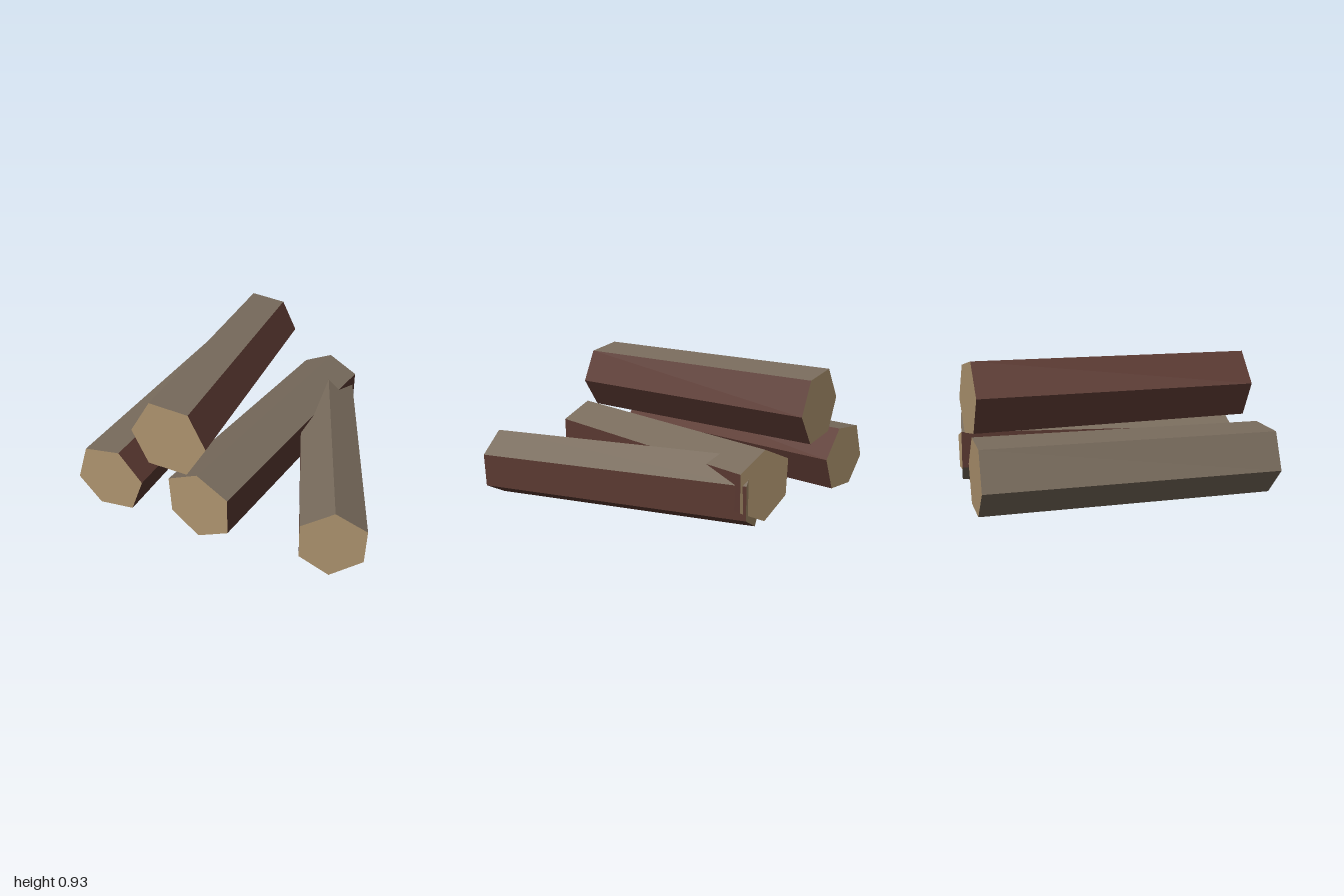
import * as THREE from 'three';

// Hexagonal prism: front outline (clockwise seen from the front) swept back to the far end.
// sides lists the material of each side face: 0 = grey bark, 1 = red bark.
function logGeometry({ outline, frontZ, shift, sides }) {
  const n = outline.length;
  const cx = outline.reduce((s, p) => s + p[0], 0) / n;
  const slope = shift[0] / -shift[2];
  // saw cuts stay square to the axis of the log
  const front = outline.map(([x, y]) => new THREE.Vector3(x, y, frontZ + slope * (x - cx)));
  const back = front.map((p) => p.clone().add(new THREE.Vector3(...shift)));

  const positions = [];
  const geometry = new THREE.BufferGeometry();
  const addFace = (material, corners) => {
    const start = positions.length / 3;
    for (let k = 1; k < corners.length - 1; k++) {
      for (const p of [corners[0], corners[k], corners[k + 1]]) positions.push(p.x, p.y, p.z);
    }
    geometry.addGroup(start, positions.length / 3 - start, material);
  };

  for (let i = 0; i < n; i++) {
    const j = (i + 1) % n;
    addFace(sides[i], [front[i], front[j], back[j], back[i]]);
  }
  addFace(2, [...front].reverse());
  addFace(2, back);

  geometry.setAttribute('position', new THREE.Float32BufferAttribute(positions, 3));
  geometry.computeVertexNormals();
  return geometry;
}

export function createModel() {
  const model = new THREE.Group();
  model.name = 'logPile';

  const material = (name, color) => {
    const m = new THREE.MeshStandardMaterial({ color });
    m.name = name;
    return m;
  };
  const materials = [
    material('greyBark', 0x786b5c),
    material('redBark', 0x5c3a32),
    material('cutWood', 0xad936e),
  ];

  const logs = [
    {
      name: 'rightLog',
      outline: [[-0.91, 0.25], [-0.83, 0.48], [-0.59, 0.505], [-0.44, 0.32], [-0.53, 0.1], [-0.765, 0.085]],
      frontZ: 0.907, shift: [-0.09, 0, -1.822], sides: [0, 0, 1, 1, 1, 0],
    },
    {
      name: 'topLog',
      outline: [[-0.45, 0.73], [-0.32, 0.935], [-0.08, 0.895], [0.02, 0.68], [-0.11, 0.48], [-0.355, 0.515]],
      frontZ: 0.903, shift: [-0.22, -0.01, -1.818], sides: [1, 0, 1, 1, 1, 1],
    },
    {
      name: 'middleLog',
      outline: [[-0.24, 0.415], [-0.03, 0.51], [0.18, 0.4], [0.175, 0.16], [-0.04, 0.055], [-0.23, 0.18]],
      frontZ: 0.91, shift: [0.145, 0.015, -1.822], sides: [0, 0, 1, 0, 0, 1],
    },
    {
      name: 'leftSlantedLog',
      outline: [[0.635, 0.36], [0.82, 0.455], [0.995, 0.33], [0.985, 0.11], [0.8, 0.003], [0.635, 0.14]],
      frontZ: 0.838, shift: [-0.7, 0.01, -1.68], sides: [0, 0, 1, 1, 1, 1],
    },
  ];

  for (const log of logs) {
    // slanted cuts run against the sideways lean of each log
    const mesh = new THREE.Mesh(logGeometry({ ...log, shift: log.shift }), materials);
    mesh.name = log.name;
    model.add(mesh);
  }
  return model;
}
